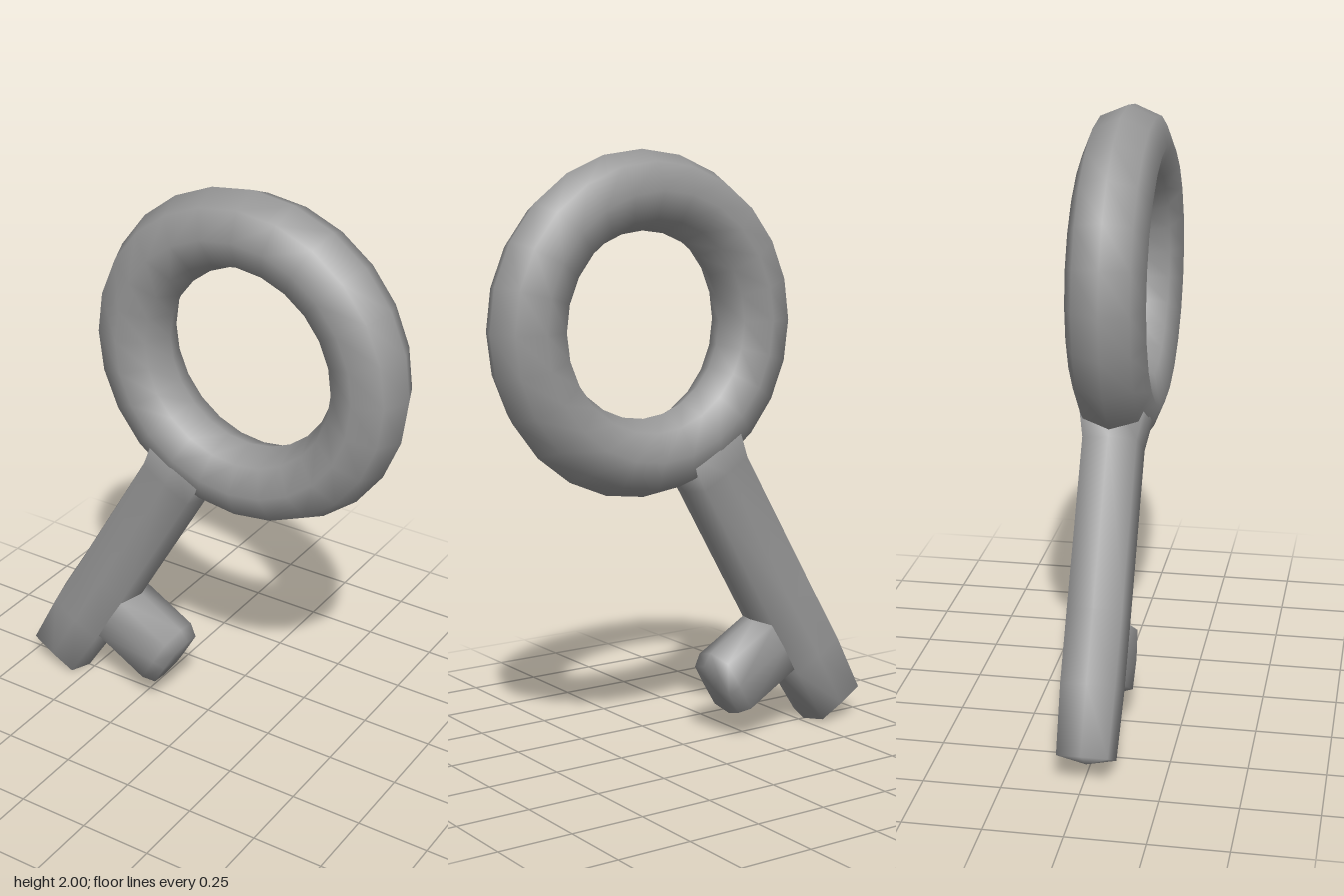
import * as THREE from 'three';

const material = new THREE.MeshStandardMaterial({ color: 0x999999 });

// Lofts an eight-sided, flattened section downwards along -y.
// Each section is [distance, xMin, xMax, halfDepth]; tip is how far the end cap bulges.
function loft(sections, tip) {
  const n = 8, positions = [], index = [];
  for (const [t, x0, x1, d] of sections) {
    const mid = (x0 + x1) / 2, half = (x1 - x0) / 2;
    const side = half * 0.8, flat = d * 0.95;
    const outline = [
      [half, 0], [side, flat], [0, d], [-side, flat],
      [-half, 0], [-side, -flat], [0, -d], [side, -flat],
    ];
    for (const [x, z] of outline) positions.push(mid + x, -t, z);
  }
  for (let s = 0; s < sections.length - 1; s++) {
    for (let i = 0; i < n; i++) {
      const a = s * n + i, b = s * n + (i + 1) % n;
      index.push(a, b, a + n, b, b + n, a + n);
    }
  }
  // end caps
  const last = sections.length - 1;
  const top = sections.length * n, bottom = top + 1;
  const [t0, a0, b0] = sections[0], [t1, a1, b1] = sections[last];
  positions.push((a0 + b0) / 2, -t0, 0, (a1 + b1) / 2, -t1 - tip, 0);
  for (let i = 0; i < n; i++) {
    const j = (i + 1) % n;
    index.push(top, j, i, bottom, last * n + i, last * n + j);
  }
  const geometry = new THREE.BufferGeometry();
  geometry.setAttribute('position', new THREE.Float32BufferAttribute(positions, 3));
  geometry.setIndex(index);
  geometry.computeVertexNormals();
  return geometry;
}

function addMesh(parent, name, geometry) {
  const mesh = new THREE.Mesh(geometry, material);
  mesh.name = name;
  parent.add(mesh);
  return mesh;
}

export function createModel() {
  const key = new THREE.Group();
  key.name = 'key';

  // everything hangs from the ring centre, tilted by 30 degrees
  const tilted = new THREE.Group();
  tilted.name = 'tiltedKey';
  tilted.position.set(0.159, 1.438, 0);
  tilted.rotation.z = -Math.PI / 6;
  key.add(tilted);

  // round handle
  addMesh(tilted, 'handleRing', new THREE.TorusGeometry(0.433, 0.129, 8, 24));

  // shaft, flaring slightly where it leaves the ring
  addMesh(tilted, 'shaft', loft([
    [0.42, -0.125, 0.145, 0.122],
    [0.57, -0.11, 0.137, 0.093],
    [1.12, -0.113, 0.138, 0.093],
    [1.36, -0.117, 0.138, 0.092],
    [1.582, -0.107, 0.126, 0.086],
  ], 0.02));

  // single tooth, lofted sideways out of the shaft and flush with its faces
  const tooth = addMesh(tilted, 'tooth', loft([
    [0.09, -1.366, -1.118, 0.087],
    [0.33, -1.366, -1.118, 0.087],
    [0.374, -1.35, -1.14, 0.072],
  ], 0.004));
  tooth.rotation.z = Math.PI / 2;

  return key;
}
